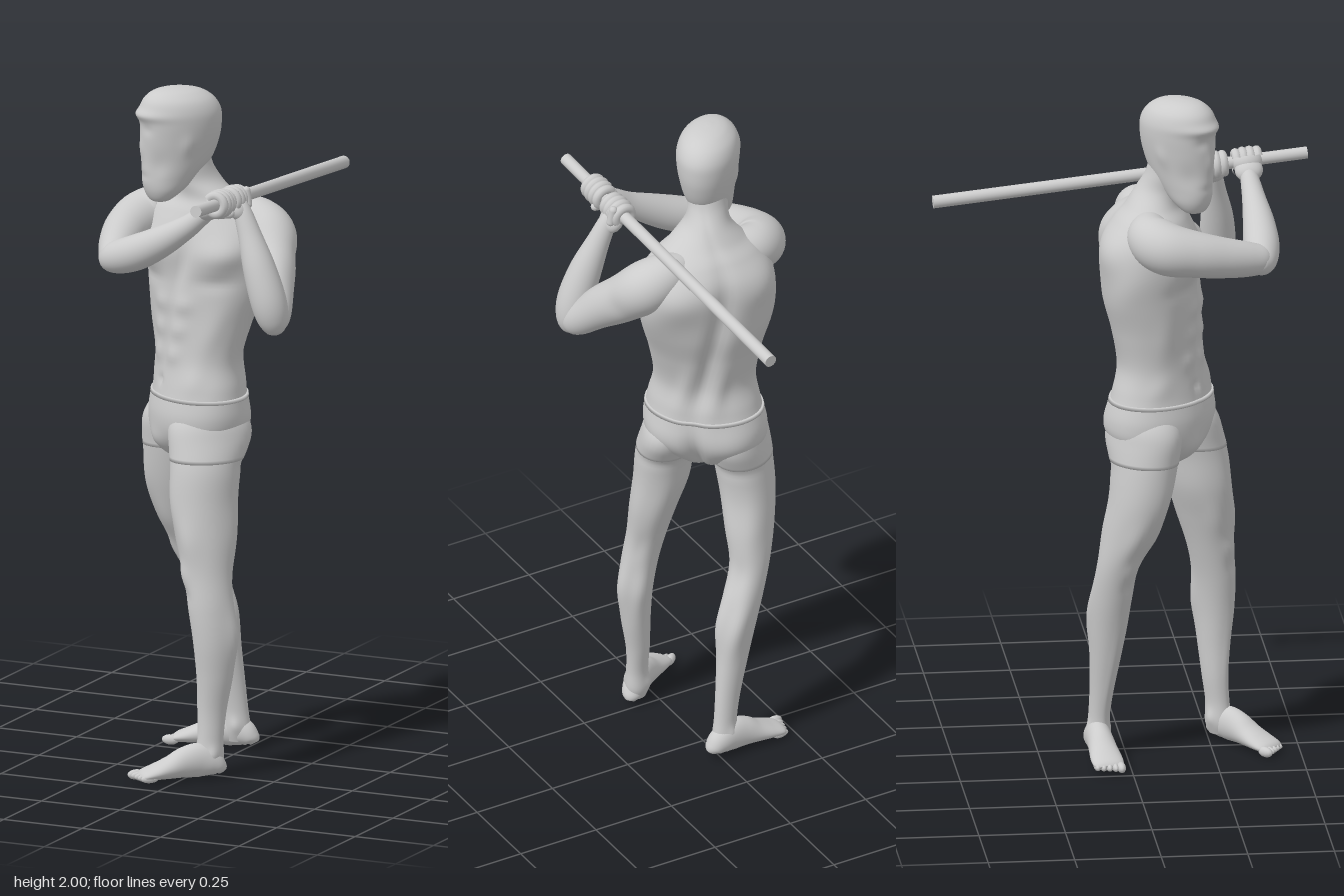
import * as THREE from 'three';

const V = (x, y, z) => new THREE.Vector3(x, y, z);
const RAD = Math.PI / 180;
const material = new THREE.MeshStandardMaterial({ color: 0xcccccc });

function add(parent, name, geometry) {
  const mesh = new THREE.Mesh(geometry, material);
  mesh.name = name;
  parent.add(mesh);
  return mesh;
}

// Catmull-Rom interpolation of every column of a row table
function resample(rows, steps) {
  const out = [], at = i => rows[Math.max(0, Math.min(rows.length - 1, i))];
  for (let i = 0; i < rows.length - 1; i++) {
    for (let s = 0; s < steps; s++) {
      const t = s / steps;
      out.push(rows[i].map((p1, k) => {
        const p0 = at(i - 1)[k], p2 = at(i + 1)[k], p3 = at(i + 2)[k];
        return p1 + 0.5 * t * (p2 - p0 + t * (2 * p0 - 5 * p1 + 4 * p2 - p3 + t * (3 * (p1 - p2) + p3 - p0)));
      }));
    }
  }
  out.push(rows[rows.length - 1]);
  return out;
}

// Skin over elliptical rings [x, y, z, halfWidth, halfDepth, turn].
// up: rings follow the path with this reference vector; otherwise they lie level.
// bumps: [angle from front, y, angular width, height width, amount], mirrored left and right.
function loft(rows, { bumps = [], up = null, range = [-9, 9], grow = 0, floor = -9, sides = 40 } = {}) {
  const rings = resample(rows, 8).filter(r => r[1] >= range[0] && r[1] <= range[1]);
  const centre = i => V(...rings[Math.max(0, Math.min(rings.length - 1, i))].slice(0, 3));
  const pos = [], index = [];
  rings.forEach(([x, y, z, a, b, turn = 0], i) => {
    let side = V(Math.cos(turn * RAD), 0, Math.sin(turn * RAD));
    let front = V(-side.z, 0, side.x);
    if (up) {
      const tangent = centre(i + 1).sub(centre(i - 1)).normalize();
      side = tangent.clone().cross(up).normalize();
      front = side.clone().cross(tangent);
    }
    for (let j = 0; j < sides; j++) {
      const deg = j / sides * 360 - 180, c = Math.cos(deg * RAD), s = Math.sin(deg * RAD);
      let push = grow;
      for (const [angle, by, wa, wy, h] of bumps) {
        for (const m of angle % 180 ? [1, -1] : [1]) {
          let d = Math.abs(deg - angle * m);
          d = Math.min(d, 360 - d);
          push += h * Math.exp(-((d / wa) ** 2) - ((y - by) / wy) ** 2);
        }
      }
      const p = V(x, y, z).addScaledVector(front, c * (Math.max(b, 0.001) + push))
        .addScaledVector(side, s * (Math.max(a, 0.001) + push));
      pos.push(p.x, Math.max(p.y, floor), p.z);
    }
  });
  const n = rings.length;
  for (let i = 0; i < n - 1; i++) {
    for (let j = 0; j < sides; j++) {
      const k = (j + 1) % sides, A = i * sides + j, B = i * sides + k;
      index.push(A, B, A + sides, B, B + sides, A + sides);
    }
  }
  // closed ends
  for (const [i, flip] of [[0, true], [n - 1, false]]) {
    const c = centre(i), tip = pos.length / 3;
    pos.push(c.x, Math.max(c.y, floor), c.z);
    for (let j = 0; j < sides; j++) {
      const A = i * sides + j, B = i * sides + (j + 1) % sides;
      index.push(...(flip ? [B, A, tip] : [A, B, tip]));
    }
  }
  const g = new THREE.BufferGeometry();
  g.setAttribute('position', new THREE.Float32BufferAttribute(pos, 3));
  g.setIndex(index);
  g.computeVertexNormals();
  return g;
}

// Torso twists from hips turned to the side up to squarer shoulders
const torsoRows = [
  [-.078, .895, .105, .04, .035, 45], [-.075, .925, .102, .095, .08, 45], [-.07, .98, .1, .162, .12, 45],
  [-.065, 1.04, .1, .178, .134, 45], [-.06, 1.12, .1, .164, .126, 42], [-.062, 1.2, .1, .148, .115, 34],
  [-.057, 1.3, .087, .162, .125, 25], [-.05, 1.4, .073, .183, .14, 17], [-.044, 1.5, .068, .198, .144, 8],
  [-.042, 1.58, .066, .196, .136, 4], [-.046, 1.635, .07, .168, .11, 4], [-.055, 1.675, .078, .112, .082, 12],
  [-.067, 1.72, .093, .068, .07, 28], [-.08, 1.77, .112, .057, .062, 40], [-.085, 1.83, .125, .056, .06, 45],
];
const torsoBumps = [
  [34, 1.525, 22, .05, .026], [0, 1.5, 7, .09, -.014], [38, 1.44, 20, .02, -.006],     // chest
  [14, 1.37, 10, .025, .007], [14, 1.295, 10, .025, .007], [14, 1.22, 10, .025, .007], // stomach
  [0, 1.26, 4, .14, -.005], [0, 1.14, 4, .012, -.008], [55, 1.3, 14, .08, .005], [50, 1.15, 14, .04, .005],
  [112, 1.46, 24, .09, .013], [140, 1.55, 26, .07, .02], [180, 1.4, 9, .22, -.02],
  [162, 1.2, 10, .08, .01],                                                            // back
  [145, 1.01, 28, .06, .014], [180, .97, 8, .08, -.022], [0, .95, 20, .04, .016],      // seat
];

const leftLegRows = [
  [.058, .025, .28, .026, .032, 48], [.058, .06, .278, .035, .042, 48], [.06, .12, .275, .031, .038, 48],
  [.062, .2, .268, .034, .042, 48], [.07, .3, .266, .042, .052, 46], [.069, .4, .268, .049, .061, 45],
  [.056, .5, .266, .053, .066, 45], [.041, .6, .252, .058, .074, 45], [.028, .7, .236, .069, .086, 45],
  [.012, .8, .22, .08, .096, 45], [.009, .9, .203, .084, .103, 45], [.002, .98, .178, .083, .106, 45],
  [-.007, 1.04, .16, .08, .102, 45], [-.02, 1.1, .145, .05, .07, 45],
];
const rightLegRows = [
  [-.025, .025, -.078, .025, .032, 72], [-.026, .06, -.078, .033, .04, 72], [-.03, .12, -.076, .03, .037, 72],
  [-.042, .2, -.07, .033, .042, 70], [-.06, .3, -.062, .042, .051, 66], [-.079, .4, -.055, .051, .06, 62],
  [-.106, .5, -.047, .055, .063, 58], [-.135, .6, -.033, .057, .064, 55], [-.152, .7, -.002, .069, .081, 50],
  [-.163, .8, .026, .079, .091, 47], [-.157, .9, .04, .084, .101, 45], [-.146, .98, .046, .083, .106, 45],
  [-.133, 1.04, .05, .08, .102, 45], [-.12, 1.1, .06, .05, .07, 45],
];
const legBumps = [
  [0, .6, 22, .03, .007], [0, .54, 18, .02, -.004], [145, .43, 26, .08, .012], [180, .58, 25, .05, -.006],
  [35, .7, 22, .06, .007], [0, .8, 22, .1, .004], [150, .75, 25, .1, .006], [0, .3, 15, .15, .004],
  [180, .99, 50, .06, .024], [180, .905, 45, .018, -.004], [0, 1, 50, .05, .008], [90, .075, 20, .02, .006],
];

// Head turned towards the leading shoulder; rows are [y, forward shift, halfWidth, halfDepth]
const headRows = [
  [1.665, .064, .008, .008], [1.672, .062, .034, .03], [1.7, .05, .054, .058], [1.74, .032, .064, .084],
  [1.79, .012, .073, .105], [1.85, .002, .083, .118], [1.9, 0, .089, .122], [1.935, .002, .088, .12],
  [1.965, .006, .077, .105], [1.986, .01, .055, .078], [1.996, .013, .032, .046], [2, .014, .006, .008],
].map(([y, f, a, b]) => [-.099 - f * .707, y, .144 + f * .707, a, b, 45]);
const headBumps = [
  [0, 1.925, 45, .015, .011], [20, 1.885, 12, .016, -.004], [0, 1.825, 9, .028, .005],
  [0, 1.745, 25, .012, -.003], [88, 1.84, 9, .03, .005], [45, 1.78, 20, .04, -.005],
];

function foot(parent, name, heel, toe) {
  const group = new THREE.Group();
  group.name = name;
  const path = toe.clone().sub(heel), across = V(path.z, 0, -path.x).normalize();
  const rows = [[0, .012, .026], [.03, .027, .05], [.12, .034, .08], [.26, .036, .1], [.42, .038, .09],
    [.58, .042, .066], [.74, .046, .046], [.87, .044, .031], [.92, .032, .018]].map(([t, w, h]) => {
    const p = heel.clone().addScaledVector(path, t);
    return [p.x, .008 + h / 2, p.z, w, h / 2];
  });
  add(group, 'footBody', loft(rows, { up: V(0, 1, 0), floor: 0.006 }));
  const inner = heel.x > .05 ? 1 : -1; // big toe side
  for (let i = 0; i < 5; i++) {
    const big = i === 0, p = heel.clone().addScaledVector(path, .93 - i * .022)
      .addScaledVector(across, -inner * (.033 - i * .0165));
    const m = add(group, 'toe', new THREE.SphereGeometry(1, 14, 10));
    m.position.set(p.x, .018, p.z);
    m.scale.set(big ? .013 : .0095, big ? .015 : .012, .026);
    m.rotation.y = Math.atan2(path.x, path.z);
  }
  parent.add(group);
}

// Hand wrapped round the bar: fist, back of the hand, curled fingers and thumb
function hand(parent, name, centre, axis, wrist) {
  const group = new THREE.Group();
  group.name = name;
  group.position.copy(centre);
  group.quaternion.setFromUnitVectors(V(0, 0, 1), axis);
  const w = wrist.clone().sub(centre), angle = Math.atan2(w.y, w.x);
  const blob = (part, dist, turn, sx, sy, sz) => {
    const m = add(group, part, new THREE.SphereGeometry(1, 24, 16));
    m.position.set(Math.cos(angle + turn) * dist, Math.sin(angle + turn) * dist, 0);
    m.rotation.z = angle + turn;
    m.scale.set(sx, sy, sz);
  };
  blob('fist', .004, 0, .038, .037, .046);
  blob('palm', .034, 0, .038, .028, .041);
  for (let i = 0; i < 4; i++) {
    const f = add(group, 'finger', new THREE.TorusGeometry(.0265 + (i % 3 ? .002 : 0), .0135, 10, 24, 4.6));
    f.position.z = (i - 1.5) * .0205;
    f.rotation.z = angle + .4;
  }
  const thumb = add(group, 'thumb', new THREE.CapsuleGeometry(.0125, .04, 6, 12));
  thumb.position.set(Math.cos(angle + 1.1) * .034, Math.sin(angle + 1.1) * .034, -.022);
  thumb.rotation.z = angle + 1.1;
  parent.add(group);
}

const round = rows => rows.map(([x, y, z, r]) => [x, y, z, r, r]);

export function createModel() {
  const model = new THREE.Group();
  model.name = 'battingFigure';

  // Body and head
  add(model, 'torso', loft(torsoRows, { bumps: torsoBumps, sides: 72 }));
  add(model, 'head', loft(headRows, { bumps: headBumps, sides: 64 }));

  // Legs and feet
  add(model, 'leftLeg', loft(leftLegRows, { bumps: legBumps }));
  add(model, 'rightLeg', loft(rightLegRows, { bumps: legBumps }));
  foot(model, 'leftFoot', V(.09, 0, .262), V(-.112, 0, .432));
  foot(model, 'rightFoot', V(.025, 0, -.088), V(-.238, 0, -.063));

  // Shorts: the same skin slightly enlarged, with a waistband
  const shorts = new THREE.Group();
  shorts.name = 'shorts';
  add(shorts, 'seat', loft(torsoRows, { bumps: torsoBumps, range: [.89, 1.1], grow: .003, sides: 72 }));
  add(shorts, 'waistband', loft(torsoRows, { bumps: torsoBumps, range: [1.085, 1.105], grow: .0045, sides: 72 }));
  add(shorts, 'leftCuff', loft(leftLegRows, { bumps: legBumps, range: [.92, 1.1], grow: .002 }));
  add(shorts, 'rightCuff', loft(rightLegRows, { bumps: legBumps, range: [.92, 1.1], grow: .002 }));
  model.add(shorts);

  // Arms, from the collar bone over the shoulder to the elbow, then to the wrist
  const Y = V(0, 1, 0), Z = V(0, 0, 1);
  const upperArmBumps = [[0, 1.46, 40, .04, .007], [180, 1.5, 40, .05, .006], [90, 1.52, 30, .02, -.004]];
  add(model, 'leftUpperArm', loft(round([[.0, 1.63, .05, .02], [.05, 1.622, .045, .048], [.1, 1.605, .05, .068],
    [.15, 1.57, .073, .077], [.19, 1.515, .13, .067], [.228, 1.45, .2, .056], [.258, 1.39, .265, .049],
    [.27, 1.37, .295, .036], [.275, 1.36, .31, .008]]), { up: Y, bumps: upperArmBumps }));
  add(model, 'leftForearm', loft(round([[.277, 1.335, .292, .006], [.275, 1.345, .292, .026], [.268, 1.38, .293, .045],
    [.253, 1.44, .296, .052], [.222, 1.53, .291, .047], [.187, 1.62, .28, .034], [.162, 1.68, .273, .027],
    [.15, 1.705, .27, .022]]), { up: Z }));
  add(model, 'rightUpperArm', loft(round([[-.09, 1.635, .06, .02], [-.145, 1.628, .055, .05], [-.2, 1.608, .058, .072],
    [-.243, 1.588, .1, .076], [-.25, 1.572, .18, .067], [-.236, 1.555, .26, .059], [-.212, 1.54, .34, .05],
    [-.198, 1.535, .385, .038], [-.192, 1.533, .41, .01]]), { up: Y }));
  add(model, 'rightForearm', loft(round([[-.245, 1.53, .365, .006], [-.235, 1.53, .367, .026], [-.2, 1.533, .374, .046],
    [-.13, 1.555, .382, .052], [-.05, 1.595, .383, .046], [.03, 1.645, .377, .034], [.08, 1.685, .371, .027],
    [.105, 1.705, .368, .022]]), { up: Y }));

  // Bat: straight bar from in front of the hands to behind the shoulder
  const tip = V(.09, 1.645, -.543), end = V(.142, 1.74, .543);
  const axis = end.clone().sub(tip).normalize();
  const bat = add(model, 'bat', new THREE.CylinderGeometry(.0175, .0185, tip.distanceTo(end), 24));
  bat.position.copy(tip).lerp(end, .5);
  bat.quaternion.setFromUnitVectors(Y, axis);

  // Hands
  const along = z => tip.clone().lerp(end, (z + .543) / 1.086);
  hand(model, 'leftHand', along(.268), axis, V(.17, 1.66, .27));
  hand(model, 'rightHand', along(.368), axis, V(.06, 1.67, .37));
  return model;
}
